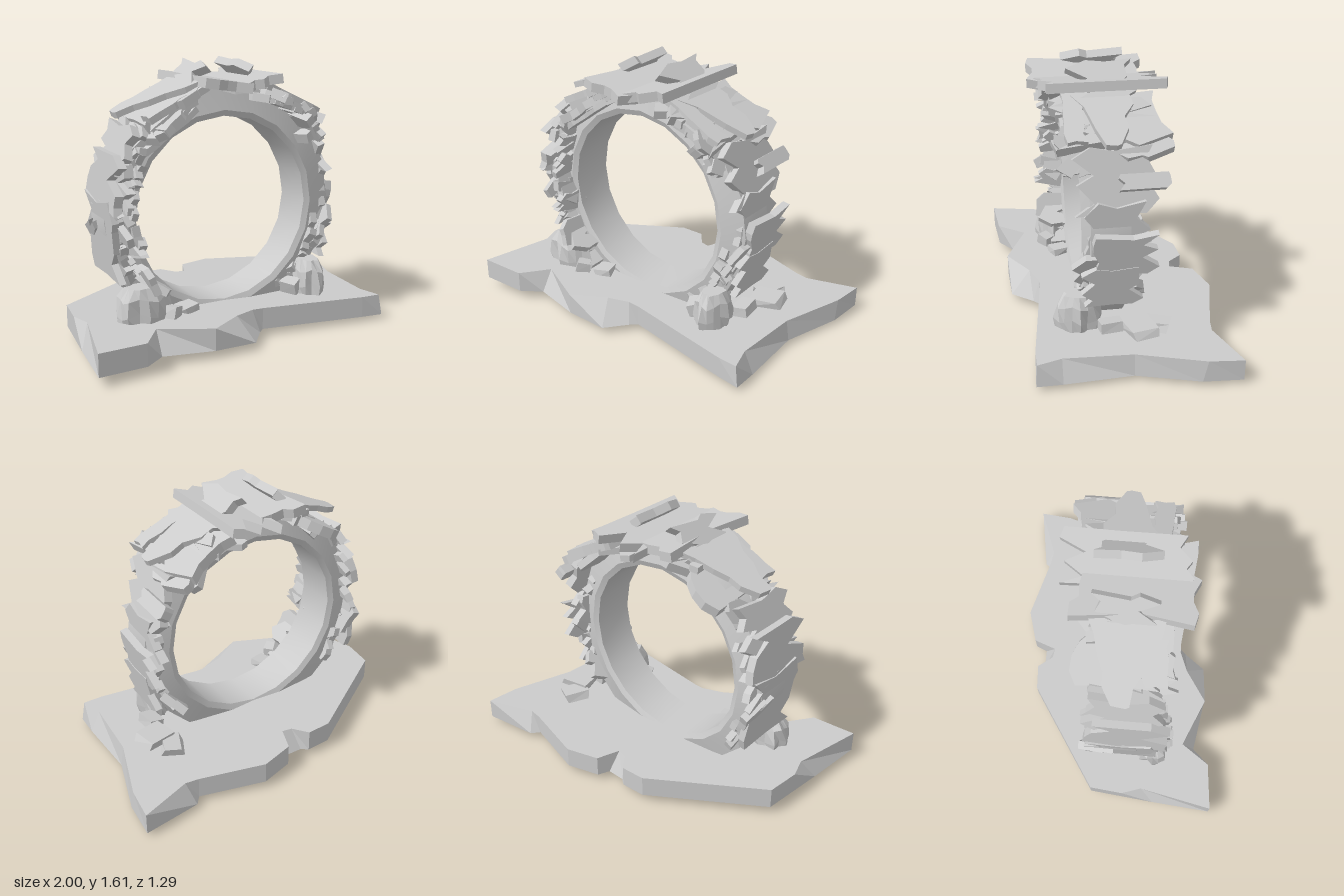
import * as THREE from 'three';
import { toCreasedNormals } from 'three/addons/utils/BufferGeometryUtils.js';

let seed = 7;
const rnd = () => (seed = (seed * 16807) % 2147483647) / 2147483647;
const stone = new THREE.MeshStandardMaterial({ color: 0xcccccc, flatShading: true });
const smoothStone = new THREE.MeshStandardMaterial({ color: 0xcccccc });
const CX = -0.045, CY = 0.735, CZ = 0.045; // ring centre

function group(parent, name) {
  const g = new THREE.Group();
  g.name = name;
  parent.add(g);
  return g;
}

function add(parent, name, geometry, material = stone) {
  const mesh = new THREE.Mesh(geometry, material);
  mesh.name = name;
  parent.add(mesh);
  return mesh;
}

// Broken stone plate: runs from a to b in the front plane, spans z0..z1, with toothed z edges.
// tip narrows the plate towards a.
function plate(parent, name, a, b, z0, z1, thick = 0.045, rough = 0.35, n = 5, tip = 0) {
  const dx = b[0] - a[0], dy = b[1] - a[1], L = Math.hypot(dx, dy), w = z1 - z0, mid = (z0 + z1) / 2;
  const depth = Math.min(w * 0.42, 0.16) * rough * 2;
  const pts = [];
  const edge = (i, z, inward, peak) => {
    const bite = i === peak ? 0 : depth * (i % 2 === peak % 2 ? 0.35 : 1) * rnd();
    const u = (i + (i % n ? 0.6 * (rnd() - 0.5) : 0)) / n;
    pts.push(new THREE.Vector2(L * u, mid + (z + inward * bite - mid) * (1 - tip * (1 - u))));
  };
  const notch = (u) => pts.push(new THREE.Vector2(L * u, z0 + w * (0.4 + 0.2 * rnd())));
  for (let i = 0; i <= n; i++) edge(i, z0, 1, 1);
  notch(1 - rough * 0.3 * rnd());
  for (let i = n; i >= 0; i--) edge(i, z1, -1, n - 1);
  notch(tip ? -0.02 : rough * 0.3 * rnd());
  const g = new THREE.ExtrudeGeometry(new THREE.Shape(pts), { depth: thick, bevelEnabled: false });
  g.translate(0, 0, -thick / 2);
  const u = new THREE.Vector3(dx / L, dy / L, 0), v = new THREE.Vector3(0, 0, 1);
  g.applyMatrix4(new THREE.Matrix4().makeBasis(u, v, u.clone().cross(v)).setPosition(a[0], a[1], 0));
  add(parent, name, g);
}

// Craggy boulder: a low sphere, flat on top, with irregular vertical grooves
function boulder(parent, name, x, z, rx, ry, rz) {
  const g = new THREE.SphereGeometry(1, 16, 6);
  const p = g.attributes.position;
  for (let i = 0; i < p.count; i++) {
    const a = Math.atan2(p.getZ(i), p.getX(i)), y = p.getY(i);
    const s = (1 + 0.1 * Math.sin(a * 5 + 1 + 2 * y) + 0.1 * Math.cos(a * 8 - 3 * y)) * (1 + 0.3 * y * y);
    p.setXYZ(i, p.getX(i) * s, Math.min(y + 0.1 * Math.sin(a * 4) * (1 - y * y), 0.84), p.getZ(i) * s);
  }
  g.scale(rx, ry, rz);
  add(parent, name, g).position.set(x, 0.22, z);
}

// Small chipped block
function chip(parent, x, y, z, sx, sy, sz, tilt, turn) {
  const g = new THREE.BoxGeometry(sx, sy, sz);
  const p = g.attributes.position;
  for (let i = 0; i < p.count; i++) {
    const X = p.getX(i), Y = p.getY(i), Z = p.getZ(i);
    const k = 0.85 + 0.2 * Math.sin(X * 190 + Y * 310 + Z * 230 + x * 40 + y * 70);
    p.setXYZ(i, X * k, Y, Z * (1.6 - 0.6 * k));
  }
  const m = add(parent, 'rubbleBlock', g);
  m.position.set(x, y, z);
  m.rotation.set(0, turn, tilt);
}

// Ground slab: top outline, and a bottom outline with a few corners broken away
function groundSlab(parent) {
  const top = [[-0.93, -0.12], [-0.3, -0.54], [-0.15, -0.55], [-0.08, -0.46], [-0.02, -0.45], [0.03, -0.59], [0.23, -0.65],
    [0.62, -0.55], [0.7, -0.54], [1, -0.65], [0.98, -0.45], [0.86, -0.06], [0.84, 0.34], [0.88, 0.48], [0.76, 0.48],
    [0.1, 0.4], [0.03, 0.4], [-0.1, 0.45], [-0.3, 0.58], [-0.6, 0.45], [-0.72, 0.62], [-1, 0.645], [-0.91, 0.2], [-0.95, 0.08]];
  const moved = { 3: [-0.11, -0.52], 4: [0, -0.52], 8: [0.66, -0.6], 10: [0.985, -0.42], 11: [0.88, -0.06], 12: [0.9, 0.34],
    13: [0.9, 0.49], 16: [0.06, 0.44], 17: [-0.04, 0.57], 19: [-0.6, 0.53], 22: [-0.97, 0.28] };
  const n = top.length, pos = [];
  const t = top.map(([x, z]) => [x, 0.172 - 0.018 * x, z]);
  const b = top.map((p, i) => moved[i] || p).map(([x, z]) => [x, 0.042 - 0.016 * x, z]);
  const tri = (...c) => c.forEach((q) => pos.push(...q));
  for (let i = 0; i < n; i++) {
    const j = (i + 1) % n;
    tri(t[i], t[j], b[i]);
    tri(t[j], b[j], b[i]);
  }
  for (const ring of [t, b]) {
    const flat = ring.map((q) => new THREE.Vector2(q[0], q[2]));
    for (const f of THREE.ShapeUtils.triangulateShape(flat, [])) {
      const [A, B, C] = f.map((k) => flat[k]);
      const up = (B.x - A.x) * (C.y - A.y) - (B.y - A.y) * (C.x - A.x) < 0;
      const [p, q, r] = f.map((k) => ring[k]);
      if (up === (ring === t)) tri(p, q, r);
      else tri(p, r, q);
    }
  }
  const g = new THREE.BufferGeometry();
  g.setAttribute('position', new THREE.Float32BufferAttribute(pos, 3));
  g.computeVertexNormals();
  add(parent, 'groundSlab', g).material = Object.assign(stone.clone(), { side: THREE.DoubleSide });
}

export function createModel() {
  seed = 7;
  const root = new THREE.Group();
  root.name = 'stoneRingGate';
  groundSlab(root);

  // Ring, sunk through the ground slab
  const profile = [[0.555, -0.13], [0.59, -0.145], [0.735, -0.11], [0.735, 0.11], [0.59, 0.145], [0.555, 0.13], [0.555, -0.13]];
  const ringGeo = new THREE.LatheGeometry(profile.map(([r, y]) => new THREE.Vector2(r, y)), 20);
  ringGeo.rotateX(Math.PI / 2);
  add(root, 'ring', toCreasedNormals(ringGeo, 0.5), smoothStone).position.set(CX, CY, CZ);

  // Large plates cladding the outside of the ring
  const cladding = group(root, 'cladding');
  [ // start, end, z range, thickness, roughness, teeth, tip
    [[-0.27, 1.505], [0.06, 1.455], -0.26, 0.43, 0.055, 0.5],
    [[0.25, 1.505], [-0.06, 1.455], -0.35, 0.39, 0.055, 0.5],
    [[-0.67, 1.32], [-0.22, 1.49], -0.2, 0.28, 0.035, 0.4, 5, 0.75],
    [[0.6, 1.29], [0.14, 1.49], -0.22, 0.25, 0.035, 0.4, 5, 0.8],
    [[-0.3, 1.42], [-0.14, 1.59], -0.15, 0.22, 0.05, 0.4],
    [[0.27, 1.42], [0.07, 1.59], -0.16, 0.22, 0.05, 0.4],
    [[-0.55, 1.25], [-0.22, 1.43], -0.24, 0.28, 0.06, 0.55],
    [[0.55, 1.25], [0.2, 1.43], -0.32, 0.33, 0.06, 0.7],
    [[-0.72, 1.0], [-0.61, 1.27], -0.17, 0.29, 0.05, 0.55],
    [[-0.76, 0.8], [-0.72, 1.12], -0.16, 0.33, 0.05, 0.55],
    [[-0.72, 0.4], [-0.77, 0.87], -0.17, 0.28, 0.04],
    [[-0.58, 0.3], [-0.73, 0.6], -0.12, 0.24, 0.05],
    [[0.65, 0.92], [0.54, 1.27], -0.22, 0.24, 0.05],
    [[0.64, 0.6], [0.65, 1.0], -0.18, 0.19, 0.05],
    [[0.67, 0.57], [0.715, 0.83], -0.22, 0.15, 0.045],
    [[0.64, 0.36], [0.685, 0.62], -0.14, 0.21, 0.04],
    [[0.5, 0.3], [0.64, 0.58], -0.13, 0.2, 0.05],
    [[0.66, 1.06], [0.61, 1.13], -0.28, 0, 0.06, 0.15, 3],
  ].forEach((p) => plate(cladding, 'claddingPlate', ...p));

  // Long splinters leaning across the upper front
  const splinters = group(root, 'splinters');
  [
    [[-0.71, 1.02], [-0.25, 1.35], 0.18, 0.28, 0.035],
    [[-0.68, 1.09], [-0.34, 1.36], 0.12, 0.24, 0.04],
    [[-0.55, 1.3], [-0.2, 1.47], 0.14, 0.3, 0.04],
    [[0.2, 1.46], [0.55, 1.29], 0.14, 0.27, 0.04],
    [[0.56, 1.12], [0.42, 1.35], 0.12, 0.3, 0.04],
  ].forEach((p) => plate(splinters, 'splinter', ...p));

  // Shards crowding the front and back edges of the ring
  const shards = group(root, 'shards');
  const shardArc = (from, to, count, r0, z0, z1) => {
    for (let i = 0; i < count; i++) {
      const a = THREE.MathUtils.degToRad(from + ((to - from) * (i + 0.5)) / count);
      const r = r0 + 0.1 * rnd(), len = 0.06 + 0.08 * rnd(), t = a + Math.PI / 2 + 0.7 * (rnd() - 0.5);
      const x = CX + r * Math.cos(a), y = CY + r * Math.sin(a), u = len * Math.cos(t), v = len * Math.sin(t);
      const near = z0 < 0 ? z0 + 0.08 * rnd() : z0, far = z0 < 0 ? z1 : z1 - 0.1 * rnd();
      plate(shards, 'shard', [x - u, y - v], [x + u, y + v], near, far, 0.035 + 0.02 * rnd(), 0.75, 4);
    }
  };
  shardArc(148, 230, 17, 0.59, 0.06, 0.37);
  shardArc(105, 145, 5, 0.65, 0.06, 0.36);
  shardArc(38, 70, 6, 0.65, 0.06, 0.36);
  shardArc(310, 355, 8, 0.6, 0.06, 0.28);
  shardArc(40, 70, 4, 0.66, -0.32, 0.05);
  shardArc(100, 215, 7, 0.65, -0.2, 0.05);
  shardArc(-40, 30, 4, 0.64, -0.2, 0.04);

  // Boulders at the feet
  boulder(root, 'leftFootBoulder', 0.525, 0.21, 0.095, 0.18, 0.13);
  boulder(root, 'rightFootBoulder', -0.6, 0.26, 0.155, 0.18, 0.1);

  // Rubble lying on the slab
  const rubble = group(root, 'rubble');
  [ // x, y, z, size, tilt, turn
    [0.67, 0.21, -0.12, 0.22, 0.045, 0.14, 0.03, 0.3], [0.62, 0.19, -0.23, 0.14, 0.05, 0.14, 0.05, -0.4],
    [0.4, 0.21, 0.22, 0.09, 0.08, 0.1, 0.3, 0.6], [-0.32, 0.19, 0.24, 0.12, 0.05, 0.1, 0.1, 0.4],
    [-0.45, 0.21, 0.3, 0.1, 0.07, 0.1, -0.2, 0.7], [0.62, 0.2, 0.04, 0.11, 0.06, 0.12, 0.2, 0.2],
    [0.48, 1.14, 0.2, 0.08, 0.06, 0.1, 0.4, 0.3],
  ].forEach((c) => chip(rubble, ...c));
  return root;
}
